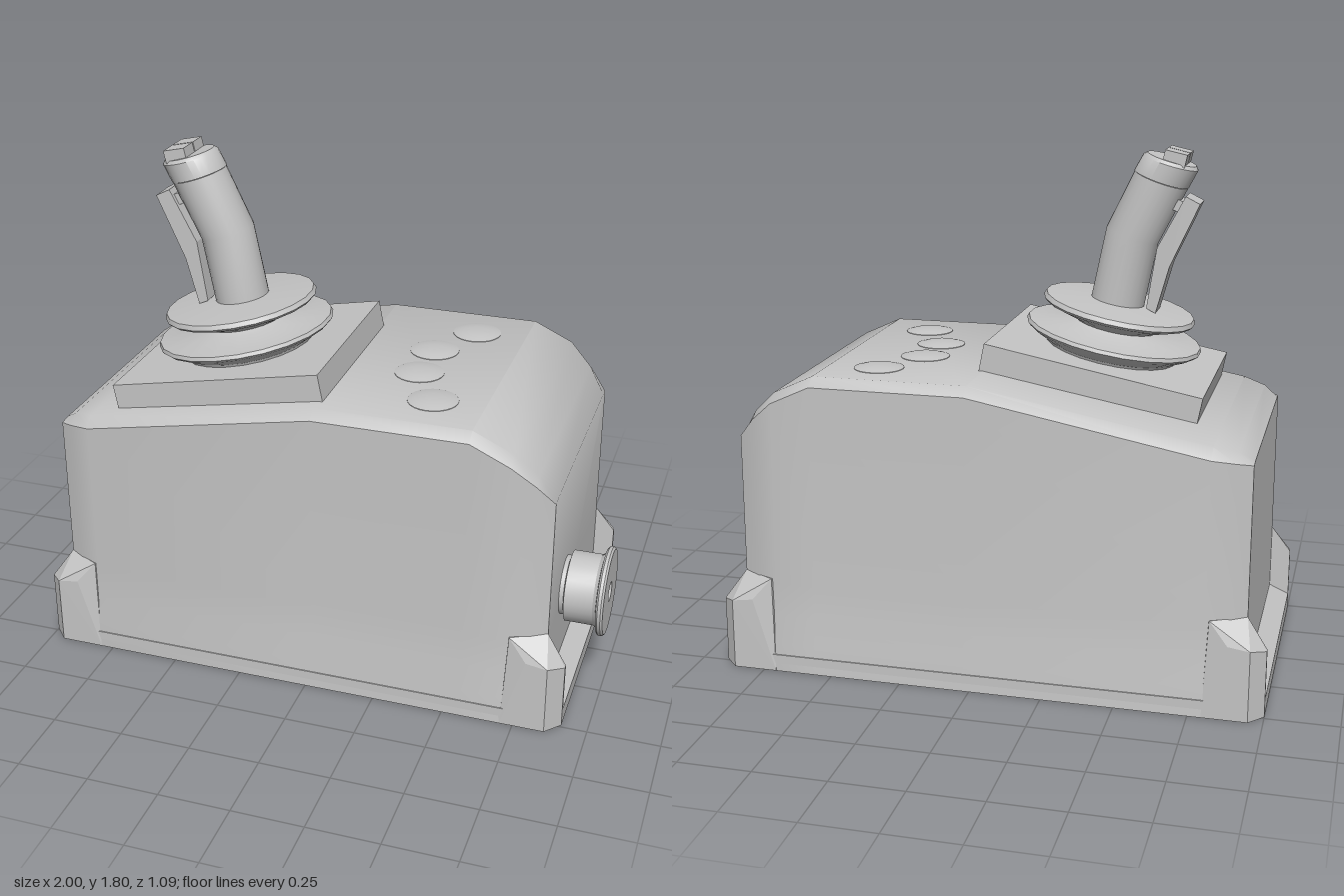
import * as THREE from 'three';
import { toCreasedNormals } from 'three/addons/utils/BufferGeometryUtils.js';
import { ConvexGeometry } from 'three/addons/geometries/ConvexGeometry.js';

const grey = new THREE.MeshStandardMaterial({ color: 0xc4c4c4 });
grey.name = 'plain grey';

function add(parent, name, geometry, x = 0, y = 0, z = 0) {
  const mesh = new THREE.Mesh(geometry, grey);
  mesh.name = name;
  mesh.position.set(x, y, z);
  parent.add(mesh);
  return mesh;
}

// Skin through rings that run counter-clockwise about the direction of progress
function loft(rings, crease) {
  const pos = [], n = rings[0].length;
  const tri = (...pts) => pts.forEach(p => pos.push(...p));
  const mid = r => [0, 1, 2].map(k => r.reduce((s, p) => s + p[k], 0) / n);
  const first = rings[0], last = rings[rings.length - 1];
  const c0 = mid(first), c1 = mid(last);
  for (let i = 0; i < n; i++) {
    const j = (i + 1) % n;
    for (let k = 0; k + 1 < rings.length; k++) {
      const a = rings[k], b = rings[k + 1];
      tri(a[i], a[j], b[j]);
      tri(a[i], b[j], b[i]);
    }
    tri(c0, first[j], first[i]);
    tri(c1, last[i], last[j]);
  }
  const g = new THREE.BufferGeometry();
  g.setAttribute('position', new THREE.Float32BufferAttribute(pos, 3));
  return toCreasedNormals(g, crease);
}

function lathe(points, segments, crease = 0.5) {
  const g = new THREE.LatheGeometry(points.map(p => new THREE.Vector2(...p)), segments);
  return toCreasedNormals(g, crease);
}

const hull = pts => new ConvexGeometry(pts.map(p => new THREE.Vector3(...p)));

// Round tube through stations of [x, y, tilt, radius]
function stickTube(stations, z) {
  return loft(stations.map(([x, y, tilt, r]) => {
    const ring = [];
    for (let i = 0; i < 24; i++) {
      const t = i / 24 * Math.PI * 2, u = r * Math.sin(t);
      ring.push([x + u * Math.cos(tilt), y + u * Math.sin(tilt), z + r * Math.cos(t)]);
    }
    return ring;
  }), 0.7);
}

export function createModel() {
  const model = new THREE.Group();
  model.name = 'joystickController';

  // Housing: stations of [x, half width, side edge height, top height]
  const stations = [
    [-0.93, 0.455, 0.855, 0.86], [-0.88, 0.485, 0.865, 0.895], [-0.80, 0.52, 0.88, 0.915],
    [0.02, 0.52, 1.035, 1.065], [0.56, 0.52, 1.035, 1.065], [0.70, 0.52, 0.97, 1.0],
    [0.78, 0.49, 0.90, 0.925], [0.84, 0.455, 0.83, 0.835],
  ];
  add(model, 'housing', loft(stations.map(([x, w, side, top]) => {
    const half = [[top, w - 0.04], [side, w], [0.32, w], [0.2, w + 0.007], [0.1, w + 0.018], [0, w + 0.025]];
    const left = half.map(([y, z]) => [x, y, z]);
    const right = half.map(([y, z]) => [x, y, -z]).reverse();
    return [...left, ...right];
  }), 0.72));

  // Base plate with sloping sills at both ends
  const cx = -0.045, sill = [];
  for (const sx of [-1, 1]) for (const sz of [-1, 1]) {
    for (const y of [0, 0.06]) {
      sill.push([cx + sx * 0.955, y, sz * 0.49], [cx + sx * 0.905, y, sz * 0.543]);
    }
    sill.push([cx + sx * 0.885, 0.10, sz * 0.455]);
  }
  add(model, 'basePlate', hull(sill));

  // Corner posts with sloping tops
  for (const sx of [-1, 1]) for (const sz of [-1, 1]) {
    const post = [
      [0.955, 0, 0.475], [0.955, 0, 0.49], [0.905, 0, 0.545], [0.75, 0, 0.545], [0.75, 0, 0.45],
      [0.955, 0.235, 0.475], [0.955, 0.235, 0.49], [0.905, 0.25, 0.545], [0.83, 0.26, 0.543],
      [0.885, 0.335, 0.455], [0.765, 0.335, 0.52], [0.75, 0.32, 0.45], [0.885, 0, 0.455],
    ];
    add(model, 'cornerPost', hull(post.map(([x, y, z]) => [cx + sx * x, y, sz * z])));
  }

  // Side knob with a dimple in its face
  const knob = add(model, 'sideKnob', lathe([
    [0.105, -0.02], [0.105, 0.015], [0.125, 0.02], [0.125, 0.12], [0.133, 0.132], [0.15, 0.135],
    [0.157, 0.142], [0.157, 0.153], [0.15, 0.16], [0.035, 0.16], [0.03, 0.152], [0, 0.152],
  ], 28), 0.84, 0.37, 0.185);
  knob.rotation.z = -Math.PI / 2;

  // Four domed push buttons
  for (const [x, z] of [[0.38, -0.305], [0.275, -0.103], [0.275, 0.097], [0.38, 0.3]]) {
    add(model, 'pushButton', lathe([
      [0.087, -0.01], [0.087, 0.002], [0.06, 0.009], [0.03, 0.012], [0, 0.013],
    ], 24), x, 1.065, z);
  }

  // Tilted plinth and bellows
  const mount = new THREE.Group();
  mount.name = 'stickMount';
  mount.position.set(-0.36, 1.088, 0.08);
  mount.rotation.z = 0.19;
  model.add(mount);
  add(mount, 'plinth', new THREE.BoxGeometry(0.766, 0.12, 0.695), 0, -0.06, 0);
  add(mount, 'bellows', lathe([
    [0.23, -0.01], [0.24, 0.01], [0.305, 0.045], [0.315, 0.055], [0.31, 0.068], [0.17, 0.085],
    [0.15, 0.095], [0.16, 0.102], [0.262, 0.14], [0.272, 0.15], [0.265, 0.166], [0.1, 0.178], [0, 0.178],
  ], 22));

  // Bent grip and its cap
  add(model, 'gripNeck', stickTube([[-0.37, 1.2, 0.19, 0.075], [-0.38, 1.28, 0.19, 0.075]], 0.08));
  add(model, 'grip', stickTube([
    [-0.382, 1.262, 0.19, 0.095], [-0.43, 1.5, 0.3, 0.095], [-0.527, 1.695, 0.32, 0.097],
  ], 0.08));
  add(model, 'gripCap', stickTube([
    [-0.527, 1.697, 0.32, 0.099], [-0.558, 1.755, 0.28, 0.099], [-0.562, 1.766, 0.28, 0.088],
  ], 0.08));

  // Split thumb switch
  for (const s of [-1, 1]) {
    const half = add(model, 'thumbSwitch', new THREE.BoxGeometry(0.078, 0.045, 0.074), -0.582, 1.774, 0.08 + s * 0.04);
    half.rotation.z = 0.22;
  }

  // Trigger lever running along the grip
  const lever = new THREE.Shape([
    [-0.67, 1.62], [-0.62, 1.645], [-0.525, 1.465], [-0.492, 1.25], [-0.525, 1.235], [-0.57, 1.4],
  ].reverse().map(p => new THREE.Vector2(...p)));
  add(model, 'trigger', new THREE.ExtrudeGeometry(lever, { depth: 0.11, bevelEnabled: false }), 0, 0, 0.025);
  const link = add(model, 'triggerPivot', new THREE.BoxGeometry(0.12, 0.04, 0.08), -0.57, 1.62, 0.08);
  link.rotation.z = 0.4;

  return model;
}
